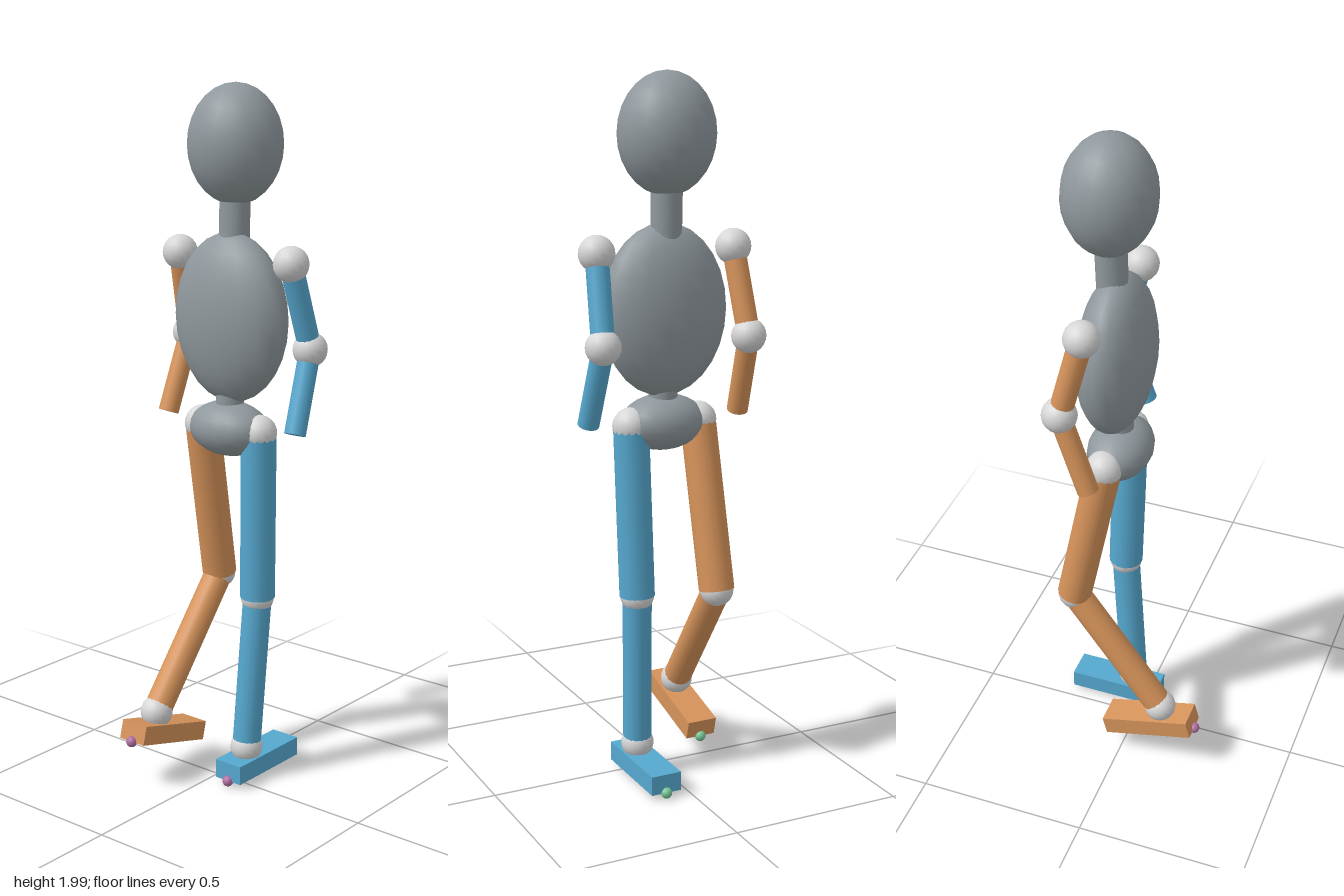
import * as THREE from 'three';

const mat = (name, color) => {
  const m = new THREE.MeshStandardMaterial({ color });
  m.name = name;
  return m;
};

export function createModel() {
  const grey = mat('body grey', 0x8f989d);
  const white = mat('joint white', 0xd6d6d6);
  const blue = mat('left limb blue', 0x56a8cf);
  const orange = mat('right limb orange', 0xd6935a);
  const pink = mat('toe marker pink', 0xb06fa2);
  const green = mat('heel marker green', 0x78c596);

  const model = new THREE.Group();
  model.name = 'mannequin';

  const add = (name, geometry, material, parent = model) => {
    const mesh = new THREE.Mesh(geometry, material);
    mesh.name = name;
    parent.add(mesh);
    return mesh;
  };

  const ball = (name, p, r, material, parent = model) =>
    add(name, new THREE.SphereGeometry(r, 16, 12), material, parent).position.set(...p);

  const ellipsoid = (name, p, radii) => {
    const mesh = add(name, new THREE.SphereGeometry(1, 18, 14), grey);
    mesh.position.set(...p);
    mesh.scale.set(...radii);
    return mesh;
  };

  // Straight cylinder between two points
  const limb = (name, from, to, r, material) => {
    const a = new THREE.Vector3(...from);
    const d = new THREE.Vector3(...to).sub(a);
    const mesh = add(name, new THREE.CylinderGeometry(r, r, d.length(), 16), material);
    mesh.position.copy(a).addScaledVector(d, 0.5);
    mesh.quaternion.setFromUnitVectors(new THREE.Vector3(0, 1, 0), d.normalize());
  };

  // Head and trunk
  ellipsoid('head', [0, 1.835, -0.075], [0.136, 0.165, 0.127]);
  limb('neck', [0, 1.56, -0.07], [0, 1.72, -0.075], 0.043, grey);
  ellipsoid('torso', [0, 1.36, -0.058], [0.185, 0.238, 0.1]);
  limb('waist', [0, 1.08, -0.052], [0, 1.18, -0.055], 0.04, grey);
  ellipsoid('pelvis', [0, 1.047, -0.05], [0.125, 0.078, 0.091]);

  // Joint positions and foot pose for each side
  const sides = [
    {
      side: 'left', material: blue,
      shoulder: [0.202, 1.525, -0.063], elbow: [0.217, 1.285, -0.134], hand: [0.227, 1.06, -0.055],
      hip: [0.1, 1.045, -0.057], knee: [0.089, 0.56, -0.07], ankle: [0.075, 0.105, -0.04],
      foot: [0.075, 0.052, -0.091], pitch: 0,
    },
    {
      side: 'right', material: orange,
      shoulder: [-0.202, 1.525, -0.078], elbow: [-0.22, 1.285, -0.139], hand: [-0.232, 1.06, -0.057],
      hip: [-0.105, 1.045, -0.06], knee: [-0.119, 0.572, -0.153], ankle: [-0.132, 0.21, 0.12],
      foot: [-0.132, 0.143, 0.09], pitch: -0.26,
    },
  ];

  for (const s of sides) {
    const n = (part) => s.side + part;

    // Arm
    ball(n('Shoulder'), s.shoulder, 0.05, white);
    limb(n('UpperArm'), s.shoulder, s.elbow, 0.032, s.material);
    ball(n('Elbow'), s.elbow, 0.049, white);
    limb(n('Forearm'), s.elbow, s.hand, 0.03, s.material);

    // Leg
    ball(n('Hip'), s.hip, 0.052, white);
    limb(n('Thigh'), s.hip, s.knee, 0.05, s.material);
    ball(n('Knee'), s.knee, 0.048, white);
    limb(n('Shin'), s.knee, s.ankle, 0.041, s.material);
    ball(n('Ankle'), s.ankle, 0.047, white);

    // Foot with toe and heel markers
    const foot = new THREE.Group();
    foot.name = n('Foot');
    foot.position.set(...s.foot);
    foot.rotation.x = s.pitch;
    add(n('FootBlock'), new THREE.BoxGeometry(0.09, 0.055, 0.274), s.material, foot);
    ball(n('ToeMarker'), [0, -0.027, 0.137], 0.016, pink, foot);
    ball(n('HeelMarker'), [0, -0.027, -0.137], 0.016, green, foot);
    model.add(foot);
  }

  // Stand the lowest marker on the ground
  model.position.y = -new THREE.Box3().setFromObject(model).min.y;
  return model;
}
